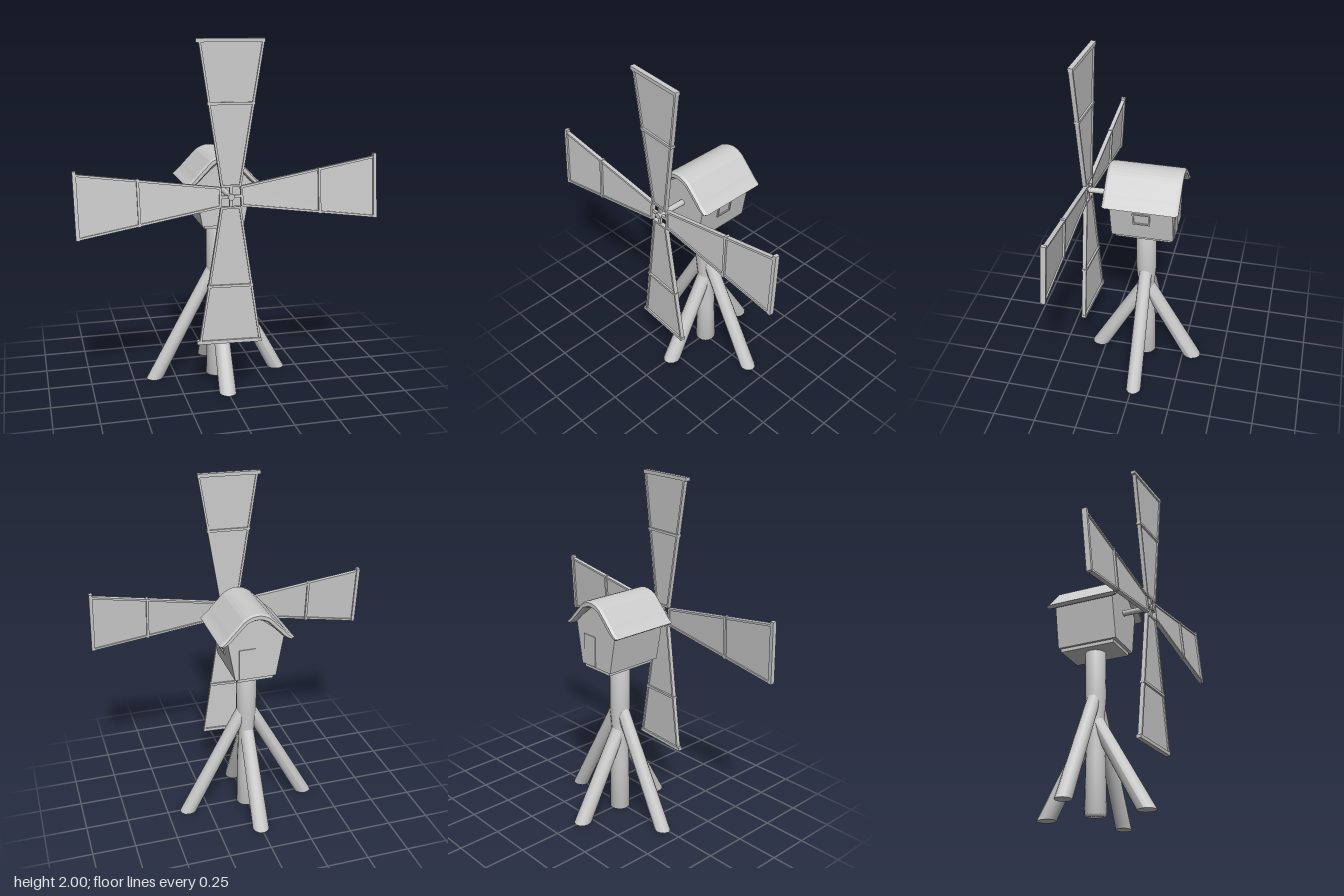
import * as THREE from 'three';

const mat = new THREE.MeshStandardMaterial({ color: 0xcccccc, side: THREE.DoubleSide });
const CZ = -0.01; // centre of the tower in z

function add(parent, name, geo, x = 0, y = 0, z = 0) {
  const m = new THREE.Mesh(geo, mat);
  m.name = name;
  m.position.set(x, y, z);
  parent.add(m);
  return m;
}

// Square bar running from (x1, y1) to (x2, y2) in the local xy plane
function bar(parent, name, x1, y1, x2, y2, width, depth) {
  const len = Math.hypot(x2 - x1, y2 - y1);
  const m = add(parent, name, new THREE.BoxGeometry(width, len, depth), (x1 + x2) / 2, (y1 + y2) / 2, 0);
  m.rotation.z = Math.atan2(y2 - y1, x2 - x1) - Math.PI / 2;
  return m;
}

function polygon(points) {
  return new THREE.Shape(points.map(([x, y]) => new THREE.Vector2(x, y)));
}

// Slanting leg with a level foot: an upright cylinder, sheared towards the foot
function leg(parent, angle, reach, height, r) {
  const g = new THREE.CylinderGeometry(r * 0.85, r, height, 12);
  g.translate(0, height / 2, 0);
  const p = g.attributes.position;
  for (let i = 0; i < p.count; i++) {
    p.setX(i, p.getX(i) * 1.12 + reach * (1 - p.getY(i) / height));
  }
  g.computeVertexNormals();
  add(parent, 'leg', g, 0, 0, CZ).rotation.y = angle;
}

// Sail along local y; dir = 1 points up, -1 points down
function sail(dir) {
  const g = new THREE.Group();
  g.name = 'sail';
  const r0 = 0.06, r1 = 0.825, w0 = 0.05, w1 = 0.168;
  const half = r => w0 + (w1 - w0) * (r - r0) / (r1 - r0);
  const panel = new THREE.ExtrudeGeometry(
    polygon([[-w0, r0 * dir], [w0, r0 * dir], [w1, r1 * dir], [-w1, r1 * dir]]),
    { depth: 0.008, bevelEnabled: false });
  add(g, 'sailPanel', panel, 0, 0, -0.004);
  for (const s of [-1, 1]) {
    bar(g, 'sailEdge', s * w0, r0 * dir, s * w1, r1 * dir, 0.012, 0.024);
  }
  bar(g, 'sailRoot', -w0 - 0.004, r0 * dir, w0 + 0.004, r0 * dir, 0.012, 0.024);
  const m = half(0.5) + 0.01;
  bar(g, 'sailBatten', -m, 0.5 * dir, m, 0.5 * dir, 0.014, 0.03);
  bar(g, 'sailTip', -0.188, r1 * dir, 0.175, r1 * dir, 0.02, 0.028);
  bar(g, 'spoke', 0, 0, 0, r0 * dir, 0.016, 0.016);
  g.rotation.y = -0.07; // pitch
  return g;
}

export function createModel() {
  const model = new THREE.Group();
  model.name = 'windmill';

  // Post, narrowed where the legs meet it
  const profile = [[0, 0], [0.061, 0], [0.056, 0.3], [0.047, 0.52], [0.06, 0.66], [0.06, 0.945], [0, 0.945]];
  add(model, 'post', new THREE.LatheGeometry(profile.map(([x, y]) => new THREE.Vector2(x, y)), 16), 0, 0, CZ);

  // Four legs; the side pair reaches higher
  for (const s of [0, 1]) {
    leg(model, s * Math.PI, 0.375, 0.7, 0.045);
    leg(model, Math.PI / 2 + s * Math.PI, 0.295, 0.54, 0.05);
  }

  // Cabin: flared gabled box on a base slab
  const cabin = new THREE.Group();
  cabin.name = 'cabin';
  model.add(cabin);
  add(cabin, 'baseSlab', new THREE.BoxGeometry(0.21, 0.022, 0.33), 0, 0.951, CZ - 0.005);
  const walls = polygon([[-0.12, 0.96], [0.12, 0.96], [0.165, 1.21], [0, 1.34], [-0.165, 1.21]]);
  add(cabin, 'walls', new THREE.ExtrudeGeometry(walls, { depth: 0.36, bevelEnabled: false }), 0, 0, -0.19);

  // Roof: rounded ridge and slightly flared eaves
  const roof = new THREE.Shape();
  roof.moveTo(0.205, 1.198);
  roof.quadraticCurveTo(0.175, 1.218, 0.15, 1.25);
  roof.lineTo(0.075, 1.328);
  roof.quadraticCurveTo(0, 1.383, -0.075, 1.328);
  roof.lineTo(-0.15, 1.25);
  roof.quadraticCurveTo(-0.175, 1.218, -0.205, 1.198);
  roof.lineTo(-0.195, 1.193);
  roof.quadraticCurveTo(-0.165, 1.205, -0.14, 1.235);
  roof.lineTo(-0.065, 1.312);
  roof.quadraticCurveTo(0, 1.355, 0.065, 1.312);
  roof.lineTo(0.14, 1.235);
  roof.quadraticCurveTo(0.165, 1.205, 0.195, 1.193);
  roof.closePath();
  add(cabin, 'roof', new THREE.ExtrudeGeometry(roof, {
    depth: 0.4, curveSegments: 8, bevelThickness: 0.015, bevelSize: 0.008, bevelSegments: 1,
  }), 0, 0, -0.213);

  // Back door
  add(cabin, 'door', new THREE.BoxGeometry(0.095, 0.18, 0.012), 0.05, 1.055, -0.189);

  // Framed window on the left wall, leaning with the wall
  const win = new THREE.Group();
  win.name = 'window';
  for (const s of [-1, 1]) {
    bar(win, 'windowFrame', -0.05, s * 0.036, 0.05, s * 0.036, 0.009, 0.012);
    bar(win, 'windowFrame', s * 0.046, -0.04, s * 0.046, 0.04, 0.009, 0.012);
  }
  win.position.set(0.1465, 1.105, CZ);
  win.rotation.set(0.178, Math.PI / 2, 0, 'YXZ');
  cabin.add(win);

  // Axle and sail wheel
  const wheel = new THREE.Group();
  wheel.name = 'sailWheel';
  wheel.position.set(0, 1.163, 0.335);
  model.add(wheel);
  add(wheel, 'axle', new THREE.CylinderGeometry(0.017, 0.017, 0.18, 12), 0, 0, -0.09).rotation.x = Math.PI / 2;
  add(wheel, 'hub', new THREE.CylinderGeometry(0.018, 0.018, 0.04, 12)).rotation.x = Math.PI / 2;
  for (const turn of [0, -Math.PI / 2 + 0.019]) {
    const pair = new THREE.Group();
    pair.name = 'sailPair';
    pair.rotation.z = turn;
    pair.add(sail(1), sail(-1));
    wheel.add(pair);
  }
  return model;
}
